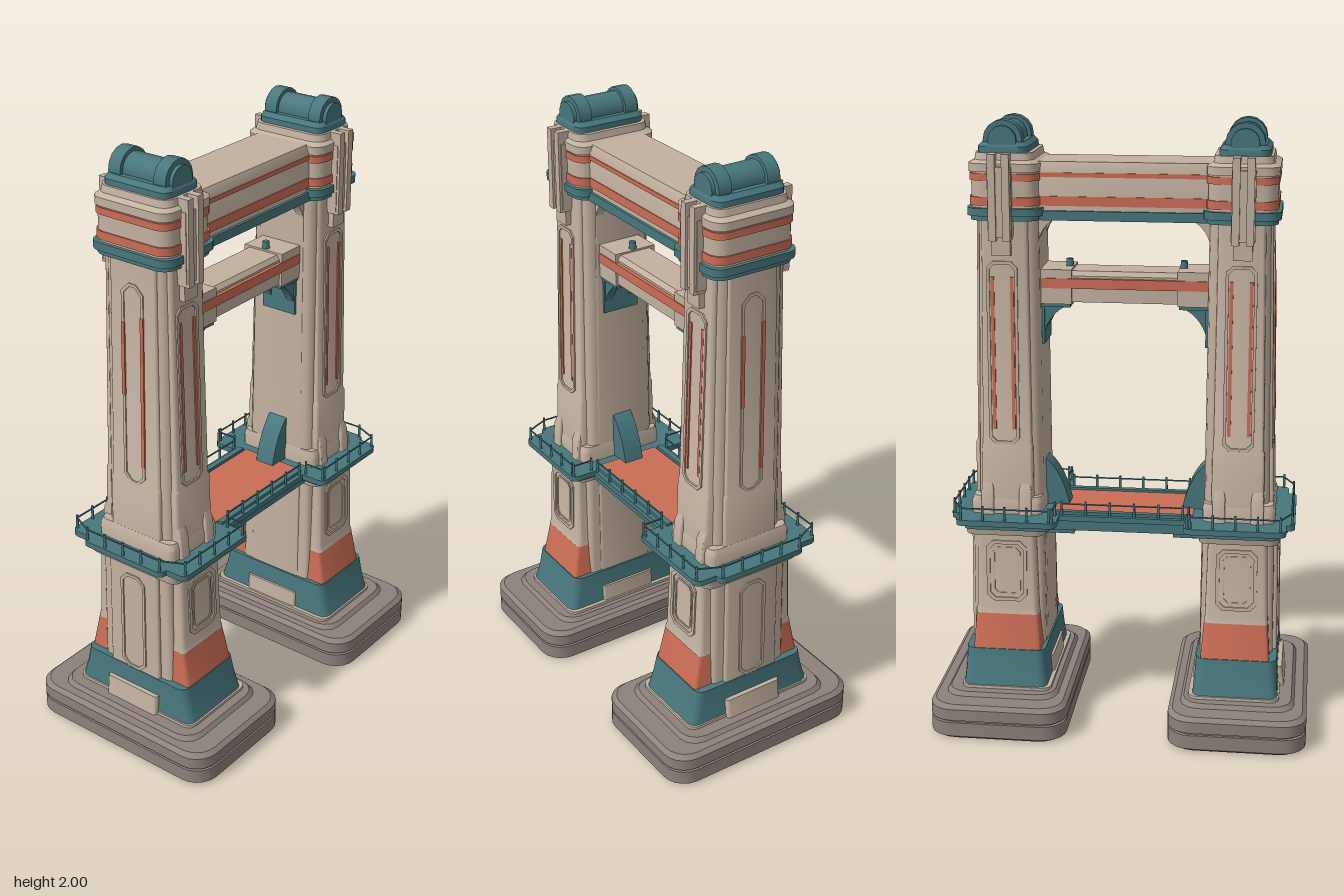
import * as THREE from 'three';
import { toCreasedNormals } from 'three/addons/utils/BufferGeometryUtils.js';

const material = (name, color) => Object.assign(new THREE.MeshStandardMaterial({ color }), { name });
const stone = material('warm stone', 0xc3b1a0);
const teal = material('teal metal', 0x47777d);
const orange = material('orange paint', 0xcb6d55);
const grey = material('grey footing', 0x8d827c);

function add(parent, name, geometry, mat, x = 0, y = 0, z = 0) {
  const mesh = new THREE.Mesh(geometry, mat);
  mesh.name = name;
  mesh.position.set(x, y, z);
  parent.add(mesh);
  return mesh;
}

// Stacked rounded rectangles: each level is [y, xMin, xMax, zHalf, cornerRadius]
function loft(levels, seg = 3) {
  const pos = [], idx = [], n = 4 * (seg + 1);
  for (const [y, x0, x1, hz, r] of levels) {
    const cx = (x0 + x1) / 2, hx = (x1 - x0) / 2;
    for (let q = 0; q < 4; q++) for (let s = 0; s <= seg; s++) {
      const a = (q + s / seg) * Math.PI / 2;
      const sx = q === 0 || q === 3 ? 1 : -1, sz = q < 2 ? 1 : -1;
      pos.push(cx + sx * (hx - r) + r * Math.cos(a), y, sz * (hz - r) + r * Math.sin(a));
    }
  }
  for (let l = 0; l < levels.length - 1; l++) for (let i = 0; i < n; i++) {
    const a = l * n + i, b = l * n + (i + 1) % n, c = b + n, d = a + n;
    idx.push(a, d, c, a, c, b);
  }
  const top = (levels.length - 1) * n;
  for (let i = 1; i < n - 1; i++) idx.push(0, i, i + 1, top, top + i + 1, top + i);
  const g = new THREE.BufferGeometry();
  g.setAttribute('position', new THREE.Float32BufferAttribute(pos, 3));
  g.setIndex(idx);
  return toCreasedNormals(g, 0.6);
}

// Chamfered rectangle outline, used for panels
function outline(T, w, h, c) {
  const p = [[w - c, -h], [w, c - h], [w, h - c], [w - c, h], [c - w, h], [-w, h - c], [-w, c - h], [c - w, -h]];
  return new T(p.map(([x, y]) => new THREE.Vector2(x, y)));
}

function frame(w, h, c, t, depth = 0.008) {
  const shape = outline(THREE.Shape, w / 2, h / 2, c);
  shape.holes.push(outline(THREE.Path, w / 2 - t, h / 2 - t, c * 0.8));
  return new THREE.ExtrudeGeometry(shape, { depth, bevelEnabled: false });
}

// Curved bracket reaching to -x; h > 0 stands up, h < 0 hangs down, k sets the curve
function bracket(w, h, depth, k) {
  const s = new THREE.Shape();
  s.moveTo(0.02, 0);
  s.lineTo(-w, 0);
  s.quadraticCurveTo(-k * w, k * h, 0, h);
  s.lineTo(0.02, h);
  return new THREE.ExtrudeGeometry(s, { depth, bevelEnabled: false, curveSegments: 8 }).translate(0, 0, -depth / 2);
}

// Posts with a thin handrail from one point to another
function rail(parent, x0, z0, x1, z1, n) {
  for (let i = 0; i <= n; i++) {
    const t = i / n;
    add(parent, 'railPost', new THREE.CylinderGeometry(0.004, 0.005, 0.05, 6), teal, x0 + (x1 - x0) * t, 0.745, z0 + (z1 - z0) * t);
  }
  const bar = add(parent, 'handrail', new THREE.BoxGeometry(Math.hypot(x1 - x0, z1 - z0), 0.004, 0.004), teal, (x0 + x1) / 2, 0.76, (z0 + z1) / 2);
  bar.rotation.y = -Math.atan2(z1 - z0, x1 - x0);
}

// One tower; local +x points outward
function buildTower() {
  const t = new THREE.Group();

  // Footing: two slabs with a groove between, slots in the upper one
  add(t, 'footingLower', loft([[0, -0.2, 0.23, 0.35, 0.08], [0.01, -0.212, 0.242, 0.362, 0.08], [0.058, -0.212, 0.242, 0.362, 0.08]], 5), grey);
  add(t, 'footingGroove', loft([[0.058, -0.203, 0.233, 0.353, 0.08], [0.066, -0.203, 0.233, 0.353, 0.08]], 5), grey);
  add(t, 'footingUpper', loft([[0.066, -0.212, 0.242, 0.362, 0.08], [0.105, -0.212, 0.242, 0.362, 0.08], [0.118, -0.198, 0.228, 0.348, 0.075]], 5), grey);
  add(t, 'footingStep', loft([[0.118, -0.175, 0.2, 0.285, 0.06], [0.132, -0.165, 0.19, 0.275, 0.06]]), grey);

  // Lower shaft: painted skirt, side pilaster and front block
  add(t, 'sidePedestal', loft([[0.12, -0.145, 0.165, 0.105, 0.01], [0.2, -0.14, 0.155, 0.105, 0.01]]), stone);
  add(t, 'skirtTrim', loft([[0.125, -0.15, 0.15, 0.245, 0.03], [0.142, -0.15, 0.15, 0.245, 0.03]]), stone);
  add(t, 'tealSkirt', loft([[0.138, -0.137, 0.145, 0.24, 0.03], [0.2, -0.132, 0.14, 0.222, 0.03], [0.262, -0.128, 0.138, 0.21, 0.03]]), teal);
  add(t, 'orangeSkirt', loft([[0.262, -0.113, 0.113, 0.207, 0.012], [0.38, -0.104, 0.106, 0.183, 0.012]]), orange);
  add(t, 'lowerPilaster', loft([[0.25, -0.123, 0.136, 0.102, 0.008], [0.68, -0.121, 0.13, 0.1, 0.008]]), stone);
  add(t, 'lowerCore', loft([[0.25, -0.12, 0.122, 0.145, 0.02], [0.68, -0.116, 0.118, 0.14, 0.02]]), stone);
  add(t, 'lowerBlock', loft([[0.38, -0.104, 0.106, 0.186, 0.015], [0.4, -0.102, 0.104, 0.18, 0.015], [0.68, -0.095, 0.097, 0.172, 0.015]]), stone);
  add(t, 'collar', loft([[0.655, -0.125, 0.135, 0.18, 0.03], [0.695, -0.132, 0.142, 0.19, 0.03]]), stone);

  // Walkway ring round the tower
  const ring = (y0, y1, e) => {
    add(t, 'walkwayLong', loft([[y0, -0.165 - e, 0.15 + e, 0.228 + e, 0.025], [y1, -0.165 - e, 0.15 + e, 0.228 + e, 0.025]]), teal);
    add(t, 'walkwayWide', loft([[y0, -0.165 - e, 0.177 + e, 0.155 + e, 0.02], [y1, -0.165 - e, 0.177 + e, 0.155 + e, 0.02]]), teal);
  };
  ring(0.685, 0.703, -0.015);
  ring(0.703, 0.722, 0.008);
  for (const s of [1, -1]) {
    rail(t, -0.15, s * 0.225, 0.14, s * 0.225, 4);
    rail(t, 0.14, s * 0.225, 0.175, s * 0.15, 1);
    rail(t, -0.16, s * 0.225, -0.16, s * 0.155, 1);
  }
  rail(t, 0.175, -0.15, 0.175, 0.15, 4);

  // Upper shaft
  add(t, 'upperFoot', loft([[0.72, -0.117, 0.12, 0.155, 0.025], [0.76, -0.117, 0.12, 0.155, 0.025], [0.78, -0.113, 0.113, 0.148, 0.025]]), stone);
  add(t, 'upperCore', loft([[0.72, -0.112, 0.1, 0.13, 0.03], [1.7, -0.108, 0.082, 0.118, 0.03]]), stone);
  add(t, 'upperPilaster', loft([[0.72, -0.113, 0.114, 0.1, 0.008], [0.95, -0.113, 0.109, 0.098, 0.008], [0.96, -0.113, 0.105, 0.095, 0.008], [1.7, -0.11, 0.09, 0.088, 0.008]]), stone);
  add(t, 'upperBlock', loft([[0.72, -0.088, 0.083, 0.152, 0.01], [0.95, -0.087, 0.081, 0.147, 0.01], [0.96, -0.084, 0.078, 0.143, 0.01], [1.7, -0.08, 0.068, 0.128, 0.01]]), stone);

  // Panels on front and back, then on the outer side
  for (const s of [1, -1]) {
    const face = new THREE.Group();
    face.name = s > 0 ? 'frontPanels' : 'backPanels';
    face.rotation.y = s > 0 ? 0 : Math.PI;
    t.add(face);
    add(face, 'lowerPanelFrame', frame(0.135, 0.21, 0.022, 0.012), stone, 0, 0.53, 0.173).rotation.x = -0.028;
    add(face, 'lowerPanelInset', frame(0.092, 0.165, 0.016, 0.006, 0.005), stone, 0, 0.53, 0.174).rotation.x = -0.028;
    add(face, 'upperPanelFrame', frame(0.1, 0.6, 0.02, 0.01), stone, -0.004, 1.26, 0.134).rotation.x = -0.02;
    for (const x of [-0.035, 0.028])
      add(face, 'panelStripe', new THREE.BoxGeometry(0.011, 0.5, 0.006), orange, x, 1.26, 0.138).rotation.x = -0.02;
    for (const x of [-0.065, 0.06])
      add(face, 'footButtress', loft([[0.72, x - 0.018, x + 0.018, 0.166, 0.005], [0.8, x - 0.018, x + 0.018, 0.16, 0.005], [0.83, x - 0.014, x + 0.014, 0.148, 0.005]]), stone);
    // Scrolled clamp over the head
    for (const x of [-0.025, 0.02])
      add(face, 'clampRib', new THREE.BoxGeometry(0.024, 0.27, 0.05), stone, x, 1.765, 0.146);
    add(face, 'clampPlate', new THREE.BoxGeometry(0.075, 0.22, 0.045), stone, -0.002, 1.75, 0.14);
    add(face, 'clampFoot', new THREE.BoxGeometry(0.06, 0.06, 0.035), stone, -0.002, 1.61, 0.132);
  }
  const side = new THREE.Group();
  side.name = 'outerPanels';
  side.rotation.y = Math.PI / 2;
  t.add(side);
  add(side, 'lowerSideFrame', frame(0.1, 0.36, 0.025, 0.01), stone, 0, 0.445, 0.13).rotation.x = -0.014;
  add(side, 'upperSideFrame', frame(0.085, 0.67, 0.028, 0.01), stone, 0, 1.285, 0.094).rotation.x = -0.02;
  add(side, 'sideStripe', new THREE.BoxGeometry(0.012, 0.5, 0.006), orange, 0.037, 1.27, 0.101).rotation.x = -0.02;
  add(side, 'sideStripe', new THREE.BoxGeometry(0.012, 0.24, 0.006), orange, -0.037, 1.37, 0.099).rotation.x = -0.02;

  // Head with painted bands
  const band = (name, y0, y1, e, mat) =>
    add(t, name, loft([[y0, -0.116 - e, 0.102 + e, 0.142 + e, 0.045], [y1, -0.116 - e, 0.102 + e, 0.142 + e, 0.045]], 4), mat);
  band('headTealLip', 1.69, 1.705, 0.003, teal);
  band('headTealBand', 1.705, 1.73, 0.012, teal);
  band('head', 1.73, 1.845, 0, stone);
  band('headLowerStripe', 1.737, 1.764, 0.004, orange);
  band('headUpperStripe', 1.815, 1.837, 0.004, orange);
  add(t, 'headCornice', loft([[1.842, -0.12, 0.108, 0.147, 0.045], [1.868, -0.12, 0.108, 0.147, 0.045], [1.878, -0.1, 0.09, 0.135, 0.04], [1.9, -0.096, 0.086, 0.132, 0.04]], 4), stone);
  add(t, 'capBase', loft([[1.895, -0.082, 0.078, 0.124, 0.03], [1.918, -0.082, 0.078, 0.124, 0.03], [1.932, -0.068, 0.064, 0.115, 0.025]]), teal);

  // Drum cap lying along z
  const drum = (name, r, len, z) => {
    const m = add(t, name, new THREE.CylinderGeometry(r, r, len, 16), teal, -0.002, 1.938, z);
    m.rotation.x = Math.PI / 2;
  };
  drum('capDrum', 0.05, 0.2, 0);
  for (const s of [1, -1]) {
    drum('capDrumEnd', 0.062, 0.045, s * 0.085);
    drum('capDrumBoss', 0.045, 0.02, s * 0.11);
  }

  // Inner brackets
  add(t, 'deckFin', bracket(0.085, 0.17, 0.07, 0.72), teal, -0.108, 0.715, 0);
  add(t, 'deckCorbel', new THREE.BoxGeometry(0.1, 0.045, 0.2), teal, -0.165, 0.665, 0);
  add(t, 'braceBracketPlate', new THREE.BoxGeometry(0.1, 0.018, 0.14), teal, -0.155, 1.412, 0);
  add(t, 'braceBracketBack', new THREE.BoxGeometry(0.014, 0.13, 0.13), teal, -0.113, 1.345, 0);
  for (const z of [-0.045, 0.045]) add(t, 'braceBracket', bracket(0.095, -0.13, 0.03, 0.2), teal, -0.108, 1.41, z);
  for (const z of [-0.07, 0.07]) add(t, 'beamBracket', bracket(0.08, -0.09, 0.03, 0.2), stone, -0.105, 1.7, z);
  add(t, 'braceCollar', new THREE.BoxGeometry(0.1, 0.112, 0.15), stone, -0.16, 1.47, 0);
  add(t, 'braceKnob', new THREE.CylinderGeometry(0.011, 0.013, 0.03, 10), teal, -0.195, 1.535, 0);
  return t;
}

export function createModel() {
  const model = new THREE.Group();
  model.name = 'twinTowerGate';
  for (const s of [1, -1]) {
    const tower = buildTower();
    tower.name = s > 0 ? 'leftTower' : 'rightTower';
    tower.position.x = s * 0.38;
    tower.rotation.y = s > 0 ? 0 : Math.PI;
    model.add(tower);
  }
  const box = (name, w, h, d, y, mat, z = 0) => add(model, name, new THREE.BoxGeometry(w, h, d), mat, 0, y, z);

  // Top beam
  add(model, 'topBeam', loft([[1.7, -0.3, 0.3, 0.106, 0.004], [1.85, -0.3, 0.3, 0.106, 0.004], [1.872, -0.3, 0.3, 0.096, 0.004]]), stone);
  box('topBeamTealLip', 0.56, 0.03, 0.23, 1.705, teal);
  box('topBeamLowerStripe', 0.56, 0.03, 0.218, 1.75, orange);
  box('topBeamUpperStripe', 0.56, 0.014, 0.218, 1.832, orange);

  // Middle brace
  add(model, 'brace', loft([[1.42, -0.29, 0.29, 0.066, 0.004], [1.505, -0.29, 0.29, 0.066, 0.004], [1.52, -0.29, 0.29, 0.055, 0.004]]), stone);
  for (const s of [1, -1]) box('braceStripe', 0.54, 0.032, 0.006, 1.482, orange, s * 0.0755).scale.x = 0.99;
  box('braceStripeCore', 0.33, 0.032, 0.146, 1.482, orange);

  // Walkway deck
  box('deckBeam', 0.5, 0.04, 0.26, 0.685, teal);
  box('deckSlab', 0.46, 0.018, 0.3, 0.712, teal);
  box('deckFloor', 0.46, 0.006, 0.22, 0.722, orange);
  for (const s of [1, -1]) {
    box('deckCurb', 0.44, 0.012, 0.02, 0.725, teal, s * 0.125);
    rail(model, -0.2, s * 0.142, 0.2, s * 0.142, 5);
  }
  return model;
}
